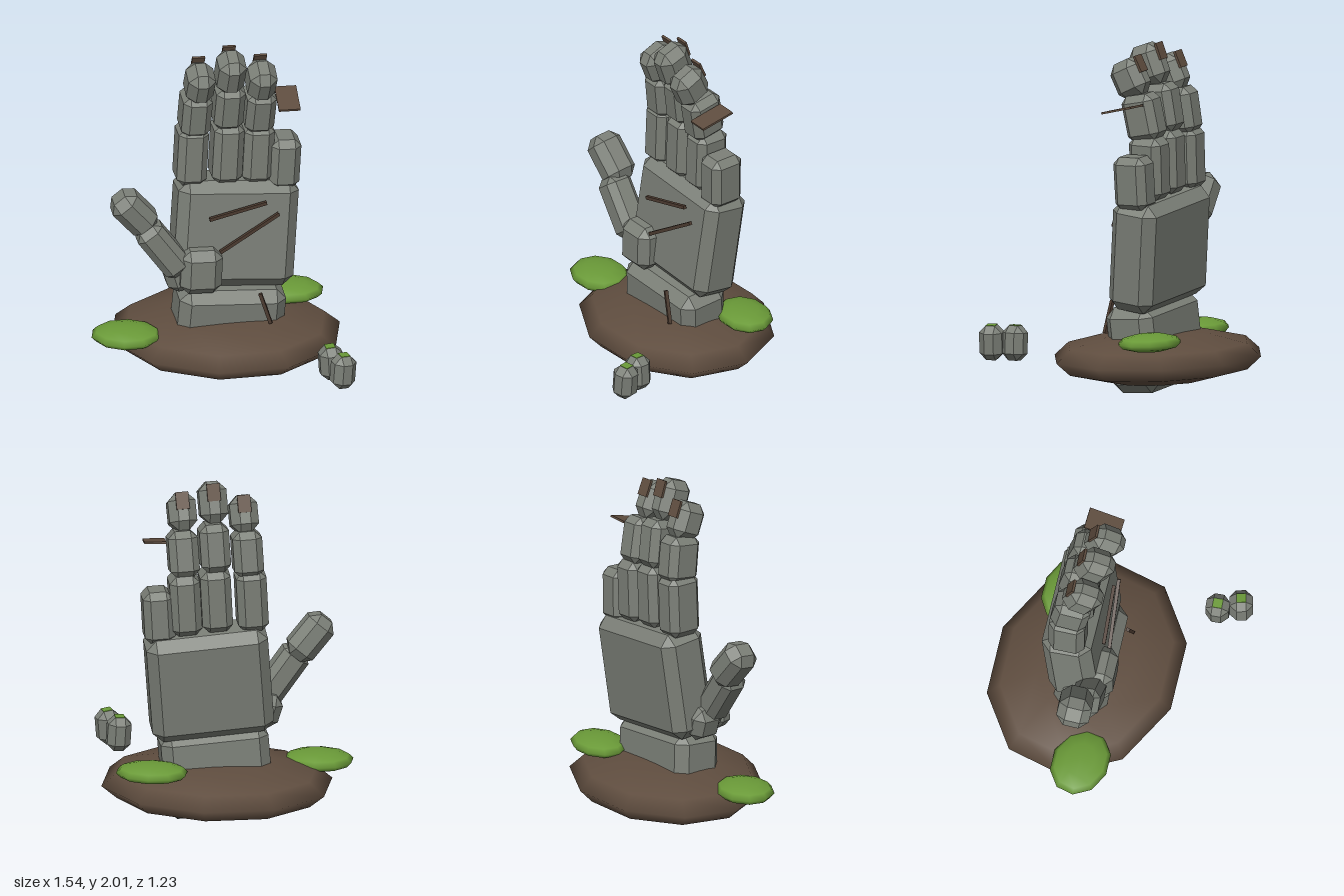
import * as THREE from 'three';
import { ConvexGeometry } from 'three/addons/geometries/ConvexGeometry.js';

const YAW = 0.26; // the hand is turned on its mound

function material(name, color) {
  const m = new THREE.MeshStandardMaterial({ color });
  m.name = name;
  return m;
}

// Box with every edge and corner cut off
function chamferBox(w, h, d, c) {
  const half = [w / 2, h / 2, d / 2];
  const points = [];
  for (const sx of [-1, 1]) for (const sy of [-1, 1]) for (const sz of [-1, 1]) {
    const s = [sx, sy, sz];
    for (let full = 0; full < 3; full++) {
      const p = half.map((v, i) => s[i] * (i === full ? v : v - c));
      points.push(new THREE.Vector3(...p));
    }
  }
  return new ConvexGeometry(points);
}

export function createModel() {
  const model = new THREE.Group();
  const stone = material('grey stone', 0x7b7f77);
  const bark = material('brown earth', 0x5f4d3f);
  const crackBrown = material('dark brown', 0x4c3b30);
  const moss = material('moss green', 0x6a9a38);

  function add(parent, name, geometry, mat, pos, rot = [0, 0, 0]) {
    const mesh = new THREE.Mesh(geometry, mat);
    mesh.name = name;
    mesh.position.set(...pos);
    mesh.rotation.set(...rot, 'YXZ');
    parent.add(mesh);
    return mesh;
  }
  const block = (name, size, c, pos, lean, roll) =>
    add(model, name, chamferBox(...size, c), stone, pos, [lean, YAW, roll]);

  // Earth mound and moss patches: squashed ten-sided spheres
  function lump(name, mat, pos, radii) {
    const g = new THREE.SphereGeometry(1, 10, 6, Math.PI / 2);
    add(model, name, g, mat, pos).scale.set(...radii);
  }
  lump('earthMound', bark, [-0.02, 0.2, -0.08], [0.675, 0.15, 0.54]);
  lump('mossRight', moss, [-0.57, 0.28, 0.165], [0.205, 0.055, 0.165]);
  lump('mossLeft', moss, [0.315, 0.34, -0.36], [0.21, 0.052, 0.155]);

  // Wrist and palm
  block('wrist', [0.62, 0.5, 0.31], 0.06, [-0.01, 0.28, -0.07], 0.08, -0.07);
  block('palm', [0.7, 0.64, 0.29], 0.06, [0.02, 0.835, -0.135], -0.1, -0.08);

  // Fingers: [position, height, forward lean] for each joint, root to tip
  const fingers = {
    index: [[[-0.22, 1.33, -0.095], 0.36, 0], [[-0.195, 1.6, -0.085], 0.27, 0.13], [[-0.165, 1.81, -0.03], 0.22, 0.4]],
    middle: [[[-0.02, 1.335, -0.14], 0.37, 0], [[-0.01, 1.64, -0.125], 0.28, 0.15], [[0.01, 1.88, -0.045], 0.24, 0.35]],
    ring: [[[0.15, 1.315, -0.19], 0.36, 0], [[0.165, 1.605, -0.16], 0.27, 0.2], [[0.185, 1.82, -0.07], 0.22, 0.45]],
    little: [[[0.3, 1.245, -0.22], 0.31, 0.03]],
  };
  for (const [finger, joints] of Object.entries(fingers)) {
    joints.forEach(([pos, height, lean], i) => {
      const tip = i === 2;
      const size = tip ? [0.16, height, 0.2] : [0.175 - i * 0.005, height, 0.21];
      const joint = block(`${finger}Joint${i + 1}`, size, tip ? 0.05 : 0.04, pos, lean, -0.05);
      if (tip) {
        add(joint, `${finger}Nail`, new THREE.BoxGeometry(0.075, 0.1, 0.014), bark, [0, 0.055, -0.1]);
      }
    });
  }

  // Thumb
  block('thumbRoot', [0.2, 0.2, 0.2], 0.05, [-0.27, 0.63, 0.02], 0, 0.3);
  block('thumbMound', [0.24, 0.27, 0.16], 0.05, [-0.15, 0.67, 0.085], 0, -0.04);
  block('thumbLower', [0.17, 0.36, 0.17], 0.04, [-0.365, 0.81, 0.105], 0, 0.62);
  block('thumbTip', [0.18, 0.29, 0.19], 0.05, [-0.53, 1.04, 0.11], 0.1, 0.7);

  // Loose nail beside the broken little finger
  add(model, 'looseNail', new THREE.BoxGeometry(0.125, 0.012, 0.21), bark, [0.33, 1.665, -0.15], [0.24, 0.2, 0]);

  // Cracks: thin rods between two points
  const cracks = [
    [[-0.1, 0.985, 0.07], [0.22, 1.055, -0.03]],
    [[-0.04, 0.78, 0.075], [0.29, 0.985, -0.035]],
    [[0.19, 0.525, 0.075], [0.25, 0.34, 0.075]],
  ];
  cracks.forEach(([a, b], i) => {
    const from = new THREE.Vector3(...a), to = new THREE.Vector3(...b);
    const rod = add(model, `crack${i + 1}`, new THREE.BoxGeometry(0.02, 0.02, from.distanceTo(to)), crackBrown,
      from.clone().add(to).multiplyScalar(0.5).toArray());
    rod.lookAt(to);
  });

  // Broken finger pieces with mossy ends
  [[[0.62, 0.285, 0.43], 0.06, 0.3], [[0.697, 0.285, 0.54], -0.08, 0.5]].forEach(([pos, roll, turn], i) => {
    const piece = add(model, `brokenPiece${i + 1}`, chamferBox(0.135, 0.2, 0.135, 0.04), stone, pos, [0, turn, roll]);
    add(piece, 'mossyEnd', new THREE.BoxGeometry(0.055, 0.008, 0.055), moss, [0, 0.099, 0]);
  });

  return model;
}
